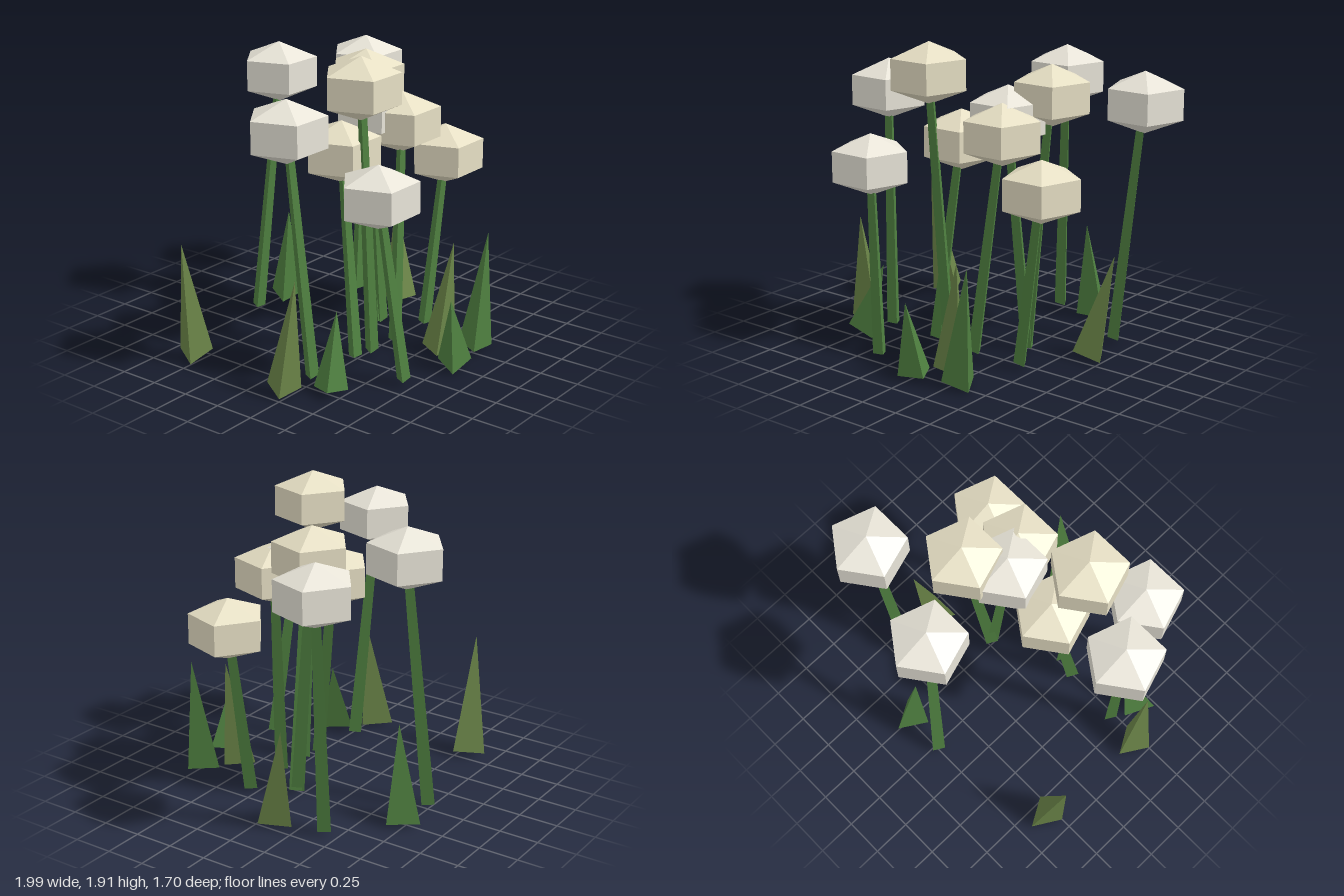
import * as THREE from 'three';

const UP = new THREE.Vector3(0, 1, 0);
const paint = (color) => new THREE.MeshStandardMaterial({ color, flatShading: true });

// Places a mesh of the given length so that its axis runs from one point to another
function span(mesh, from, to) {
  const a = new THREE.Vector3(...from);
  const b = new THREE.Vector3(...to);
  mesh.position.copy(a).add(b).multiplyScalar(0.5);
  mesh.quaternion.setFromUnitVectors(UP, b.sub(a).normalize());
  return mesh;
}
const distance = (a, b) => Math.hypot(b[0] - a[0], b[1] - a[1], b[2] - a[2]);

export function createModel() {
  const group = new THREE.Group();
  const cream = paint(0xe8e4d8);
  const warm = paint(0xe6dfc4);
  const green = paint(0x4f8040);
  const olive = paint(0x6b8548);

  // Five-sided flower head, squashed, one corner towards the back
  const headShape = new THREE.SphereGeometry(0.273, 5, 3);
  headShape.rotateY(-Math.PI / 2);
  headShape.scale(1, 0.7, 1);

  // Head centre, stem foot x and z, head colour
  const flowers = [
    [[-0.75, 1.54, 0.125], -0.66, 0.22, cream],
    [[-0.5, 1.18, 0.585], -0.37, 0.68, cream],
    [[-0.2, 1.285, 0.09], -0.275, 0.25, warm],
    [[-0.28, 1.72, 0.295], -0.145, 0.28, warm],
    [[0.085, 1.61, -0.62], -0.02, -0.74, cream],
    [[0.13, 1.47, 0.055], 0.28, 0.04, cream],
    [[0.325, 1.59, -0.12], 0.27, 0.03, warm],
    [[0.22, 1.4, 0.23], 0.07, 0.3, warm],
    [[0.57, 1.13, 0.317], 0.41, 0.29, warm],
    [[0.77, 1.55, -0.453], 0.62, -0.41, cream],
  ];
  for (const [top, x, z, color] of flowers) {
    const flower = new THREE.Group();
    flower.name = 'flower';
    const head = new THREE.Mesh(headShape, color);
    head.name = 'flowerHead';
    head.position.set(...top);

    // Three-sided tapering stem, flat side to the front
    const foot = [x, 0.027, z];
    const stem = new THREE.Mesh(
      new THREE.CylinderGeometry(0.03, 0.047, distance(foot, top), 3, 1, false, Math.PI), green);
    stem.name = 'stem';
    flower.add(head, span(stem, foot, top));
    group.add(flower);
  }

  // Leaning three-sided grass blades: base x and z, tip, colour
  const blades = [
    [-0.835, -0.56, [-0.96, 0.78, -0.52], olive],
    [-0.895, 0.19, [-0.88, 0.715, 0.28], olive],
    [-0.73, 0.41, [-0.61, 0.465, 0.37], green],
    [0.01, 0.785, [-0.06, 0.455, 0.8], green],
    [0.31, 0.74, [0.38, 0.75, 0.77], green],
    [0.25, -0.73, [0.22, 0.63, -0.67], green],
    [0.665, -0.085, [0.75, 0.65, -0.19], olive],
    [0.125, 0.59, [0.2, 0.71, 0.64], olive],
  ];
  for (const [x, z, tip, color] of blades) {
    const base = [x, 0.02, z];
    const blade = new THREE.Mesh(
      new THREE.ConeGeometry(0.118, distance(base, tip), 3, 1, false, Math.PI), color);
    blade.name = 'grassBlade';
    group.add(span(blade, base, tip));
  }
  return group;
}
